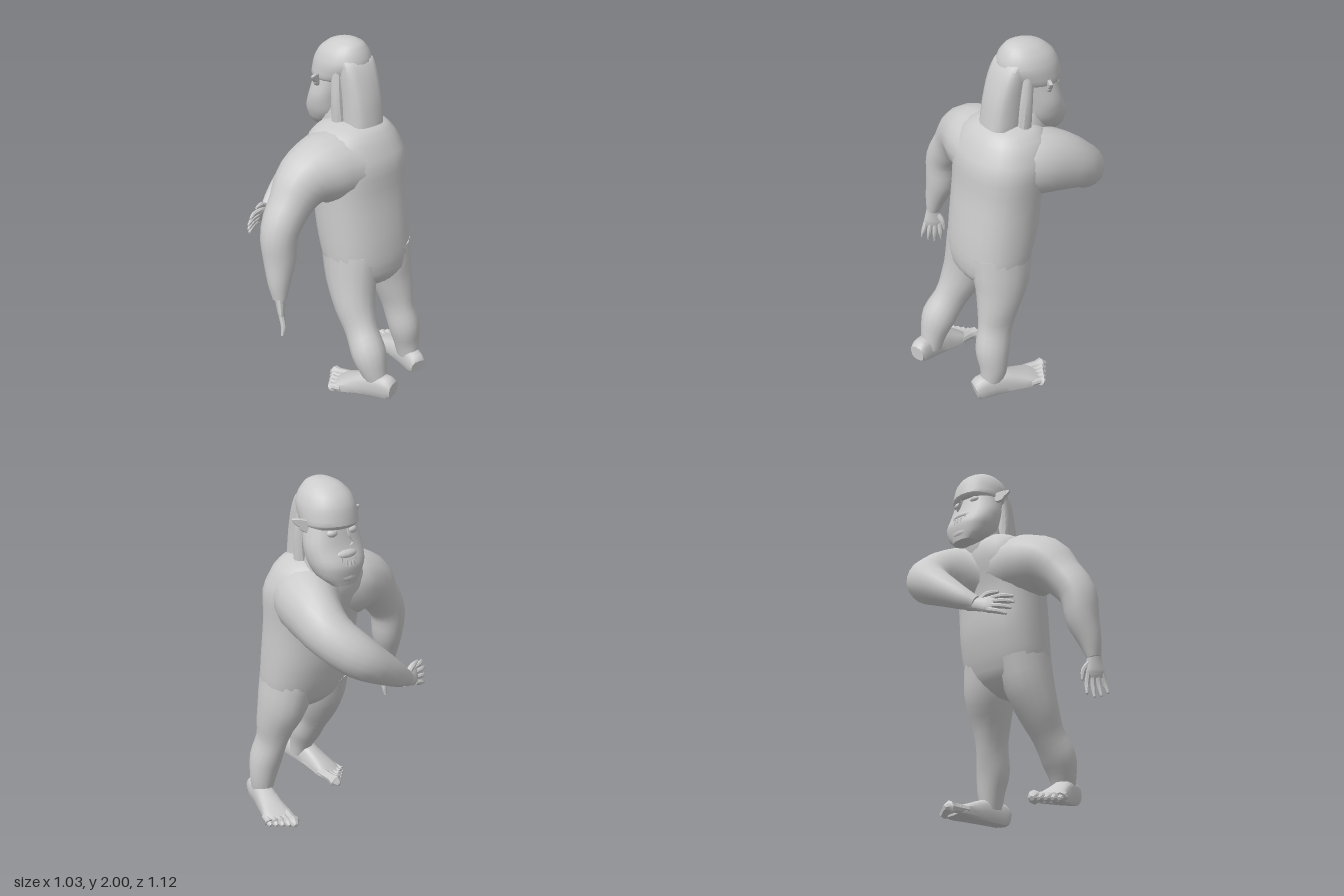
import * as THREE from 'three';
import { toCreasedNormals } from 'three/addons/utils/BufferGeometryUtils.js';

const V = (x, y, z) => new THREE.Vector3(x, y, z);
const mat = new THREE.MeshStandardMaterial({ color: 0xcccccc });
const X = V(1, 0, 0), Y = V(0, 1, 0), Z = V(0, 0, 1);

// Smooth skin through sections [x, y, z, radius along ref, radius across]
function loft(sections, ref = X, { power = 1, sides = 16, steps = 3, axis = null, flat = false } = {}) {
  const path = new THREE.CatmullRomCurve3(sections.map(s => V(s[0], s[1], s[2])));
  const size = new THREE.CatmullRomCurve3(sections.map(s => V(s[3], s[4] ?? s[3], 0)));
  const rings = (sections.length - 1) * steps, pos = [], idx = [];
  const round = c => Math.sign(c) * Math.abs(c) ** power;
  for (let i = 0; i <= rings; i++) {
    const p = path.getPoint(i / rings), r = size.getPoint(i / rings);
    const t = axis ?? path.getTangent(i / rings);
    const u = ref.clone().addScaledVector(t, -ref.dot(t)).normalize();
    const v = t.clone().cross(u);
    for (let j = 0; j < sides; j++) {
      const a = j / sides * Math.PI * 2;
      const q = p.clone().addScaledVector(u, round(Math.cos(a)) * r.x).addScaledVector(v, round(Math.sin(a)) * r.y);
      if (flat) q.y = Math.max(q.y, 0);
      pos.push(q.x, q.y, q.z);
      const k = (j + 1) % sides, b = i * sides;
      if (i < rings) idx.push(b + j, b + k, b + sides + k, b + j, b + sides + k, b + sides + j);
    }
  }
  const n = pos.length / 3, first = path.getPoint(0), last = path.getPoint(1);
  pos.push(first.x, first.y, first.z, last.x, last.y, last.z);
  for (let j = 0; j < sides; j++) {
    const k = (j + 1) % sides, b = rings * sides;
    idx.push(n, k, j, n + 1, b + j, b + k);
  }
  const g = new THREE.BufferGeometry();
  g.setAttribute('position', new THREE.Float32BufferAttribute(pos, 3));
  g.setIndex(idx);
  return toCreasedNormals(g, 0.6);
}

function add(parent, name, geometry) {
  const m = new THREE.Mesh(geometry, mat);
  m.name = name;
  parent.add(m);
  return m;
}

function ball(parent, name, p, r) {
  const m = add(parent, name, new THREE.SphereGeometry(1, 16, 12));
  m.position.set(...p);
  m.scale.set(...r);
}

// Hand: fingers run along dir, palm is wide along wide, thumb on the wide side
function hand(parent, name, wrist, dir, wide) {
  const g = new THREE.Group();
  g.name = name;
  const up = dir.clone().normalize().negate();
  const w = wide.clone().addScaledVector(up, -wide.dot(up)).normalize();
  g.applyMatrix4(new THREE.Matrix4().makeBasis(w, up, w.clone().cross(up)).setPosition(wrist));
  add(g, 'palm', loft([[0, 0.03, 0, 0.038, 0.032], [0, -0.03, 0, 0.044, 0.025], [0, -0.09, 0, 0.052, 0.02],
    [0, -0.115, 0, 0.044, 0.012]], X, { sides: 12 }));
  for (let i = 0; i < 4; i++) {
    const x = (i - 1.5) * 0.026, len = 0.125 - Math.abs(i - 1.7) * 0.016;
    add(g, 'finger', loft([[x, -0.09, 0, 0.015], [x * 1.3, -0.1 - len * 0.5, 0.005, 0.014],
      [x * 1.5, -0.1 - len, -0.006, 0.007]], X, { sides: 8 }));
  }
  add(g, 'thumb', loft([[0.025, -0.03, 0, 0.018], [0.058, -0.07, 0.012, 0.016], [0.072, -0.125, 0.012, 0.007]], X, { sides: 8 }));
  parent.add(g);
}

// Bare foot: heel at the origin, toes toward -z, side = +1 puts the big toe at +x
function foot(parent, name, heel, rot, side) {
  const g = new THREE.Group();
  g.name = name;
  g.position.set(...heel);
  g.rotation.set(...rot, 'YXZ');
  add(g, 'sole', loft([[0, 0.045, 0, 0.046, 0.045], [0, 0.052, -0.03, 0.052, 0.07], [0, 0.055, -0.13, 0.056, 0.08],
    [0, 0.04, -0.25, 0.067, 0.058], [0, 0.028, -0.34, 0.08, 0.037], [0, 0.024, -0.385, 0.07, 0.022]], X, { flat: true, power: 0.7 }));
  for (let i = 0; i < 5; i++) {
    const x = side * (0.056 - i * 0.031), r = i ? 0.019 : 0.026, end = -0.475 + i * 0.017;
    add(g, 'toe', loft([[x, 0.033, -0.32, r], [x, 0.032, (end - 0.34) / 2, r], [x, 0.026, end + 0.02, r],
      [x, 0.021, end, r * 0.5]], X, { sides: 8 }));
  }
  parent.add(g);
}

function makeHead() {
  const h = new THREE.Group();
  h.name = 'head';
  h.position.x = 0.157;
  // Face and heavy jaw
  add(h, 'face', loft([[0, 1.485, -0.23, 0.07, 0.045], [0, 1.53, -0.19, 0.12, 0.095], [0, 1.6, -0.165, 0.15, 0.125],
    [0, 1.68, -0.14, 0.16, 0.112], [0, 1.77, -0.115, 0.143, 0.115], [0, 1.86, -0.09, 0.125, 0.12]], X, { axis: Y, power: 0.85, sides: 20 }));
  // Skull overhanging the face as a brow
  add(h, 'skull', loft([[0, 1.775, -0.12, 0.135, 0.125], [0, 1.795, -0.112, 0.147, 0.15], [0, 1.87, -0.085, 0.144, 0.165],
    [0, 1.93, -0.075, 0.122, 0.143], [0, 1.975, -0.06, 0.082, 0.1], [0, 1.995, -0.05, 0.04, 0.05],
    [0, 2, -0.045, 0.01, 0.01]], X, { axis: Y, power: 0.95, sides: 24 }));
  // Nose and muzzle
  add(h, 'nose', loft([[0, 1.79, -0.235, 0.018], [0, 1.73, -0.246, 0.028], [0, 1.7, -0.247, 0.044, 0.03],
    [0, 1.68, -0.24, 0.02, 0.01]], X, { axis: Y, sides: 10 }));
  ball(h, 'upperLip', [0, 1.645, -0.22], [0.085, 0.032, 0.06]);
  ball(h, 'lowerLip', [0, 1.575, -0.22], [0.1, 0.03, 0.068]);
  ball(h, 'chin', [0, 1.53, -0.22], [0.095, 0.045, 0.068]);
  // Jagged teeth
  for (let i = -3; i <= 3; i++) {
    const tall = Math.abs(i) === 2 ? 0.055 : 0.035;
    const tooth = add(h, 'tooth', new THREE.ConeGeometry(0.011, tall, 6));
    tooth.position.set(i * 0.021, 1.593 + tall / 2, -0.288 + 0.0035 * i * i);
    tooth.rotation.x = -0.15;
  }
  // Pointed ears and eyes
  const leaf = new THREE.Shape();
  leaf.moveTo(0, -0.035);
  leaf.quadraticCurveTo(0.05, -0.035, 0.055, -0.005);
  leaf.quadraticCurveTo(0.08, 0.01, 0.088, 0.03);
  leaf.quadraticCurveTo(0.05, 0.035, 0, 0.015);
  const earGeo = new THREE.ExtrudeGeometry(leaf, { depth: 0.012, bevelEnabled: true, bevelSize: 0.004, bevelThickness: 0.004, bevelSegments: 1 });
  for (const s of [-1, 1]) {
    ball(h, 'eye', [s * 0.06, 1.755, -0.214], [0.032, 0.022, 0.025]);
    const ear = add(h, 'ear', earGeo);
    ear.position.set(s * 0.13, 1.79, s < 0 ? -0.118 : -0.13);
    ear.rotation.y = s > 0 ? -0.5 : Math.PI + 0.5;
    // Lock of hair behind each ear
    add(h, 'hairLock', loft([[s * 0.1, 1.57, 0, 0.036, 0.04], [s * 0.108, 1.7, -0.005, 0.03, 0.035],
      [s * 0.1, 1.86, -0.02, 0.025, 0.03]], X, { axis: Y, sides: 10 }));
  }
  // Long hair down the back
  add(h, 'backHair', loft([[0, 1.57, 0.075, 0.102, 0.095], [0, 1.7, 0.06, 0.102, 0.09], [0, 1.83, 0.035, 0.105, 0.075],
    [0, 1.9, 0.01, 0.1, 0.06], [0, 1.92, -0.01, 0.075, 0.03]], X, { axis: Y, power: 0.65 }));
  return h;
}

export function createModel() {
  const root = new THREE.Group();
  root.name = 'creature';

  add(root, 'torso', loft([[0.152, 0.65, 0.17, 0.06, 0.07], [0.152, 0.68, 0.165, 0.13, 0.125], [0.15, 0.74, 0.155, 0.23, 0.172],
    [0.145, 0.83, 0.14, 0.256, 0.197], [0.14, 1.0, 0.11, 0.262, 0.212], [0.135, 1.2, 0.085, 0.265, 0.207],
    [0.135, 1.38, 0.055, 0.275, 0.225], [0.13, 1.5, 0.03, 0.24, 0.2], [0.14, 1.555, 0.03, 0.18, 0.155],
    [0.15, 1.582, 0.03, 0.11, 0.1]], X, { axis: Y, power: 0.85, sides: 24 }));
  add(root, 'neck', loft([[0.15, 1.36, 0, 0.13, 0.13], [0.155, 1.5, -0.07, 0.125, 0.12], [0.157, 1.65, -0.1, 0.11, 0.1]], X));
  root.add(makeHead());

  // Arms, starting as broad shoulder masses inside the torso
  add(root, 'rightArm', loft([[0.08, 1.36, 0.06, 0.215, 0.19], [-0.09, 1.36, 0.05, 0.2, 0.188], [-0.22, 1.325, 0.05, 0.155, 0.158],
    [-0.32, 1.225, 0.06, 0.118, 0.116], [-0.403, 1.1, 0.075, 0.105, 0.102], [-0.418, 0.95, 0.09, 0.09], [-0.445, 0.82, 0.115, 0.062],
    [-0.455, 0.73, 0.13, 0.042, 0.036]], Z, { sides: 18 }));
  hand(root, 'rightHand', V(-0.455, 0.735, 0.13), V(0.01, -1, 0.1), V(0.55, 0, -0.8));
  add(root, 'leftArm', loft([[0.12, 1.36, 0.07, 0.19, 0.21], [0.25, 1.36, -0.05, 0.19, 0.185], [0.308, 1.325, -0.2, 0.165, 0.14],
    [0.307, 1.262, -0.33, 0.126, 0.123], [0.22, 1.165, -0.435, 0.115], [0.07, 1.06, -0.463, 0.085, 0.083],
    [-0.05, 0.98, -0.455, 0.058, 0.052], [-0.12, 0.94, -0.435, 0.04, 0.032]], Y, { sides: 18 }));
  hand(root, 'leftHand', V(-0.105, 0.94, -0.435), V(-1, -0.18, 0.35), V(0, 1, 0.3));

  // Legs, right one trailing
  add(root, 'leftLeg', loft([[0.26, 0.85, 0.14, 0.14, 0.18], [0.285, 0.7, 0.155, 0.13, 0.165], [0.31, 0.55, 0.195, 0.105, 0.125],
    [0.325, 0.42, 0.225, 0.08, 0.105], [0.345, 0.3, 0.258, 0.09, 0.1], [0.365, 0.18, 0.265, 0.076, 0.08],
    [0.37, 0.08, 0.275, 0.055, 0.07]], X));
  foot(root, 'leftFoot', [0.355, 0.005, 0.385], [0, -0.18, 0], -1);
  add(root, 'rightLeg', loft([[0.03, 0.85, 0.14, 0.145, 0.18], [0.01, 0.7, 0.17, 0.13, 0.16], [-0.01, 0.55, 0.23, 0.112, 0.122],
    [-0.022, 0.43, 0.3, 0.088, 0.1], [-0.03, 0.33, 0.37, 0.098, 0.1], [-0.025, 0.22, 0.415, 0.075, 0.075],
    [-0.01, 0.13, 0.44, 0.05, 0.06]], X));
  foot(root, 'rightFoot', [0.01, 0.105, 0.555], [-0.2, 0.27, 0.1], 1);

  return root;
}
